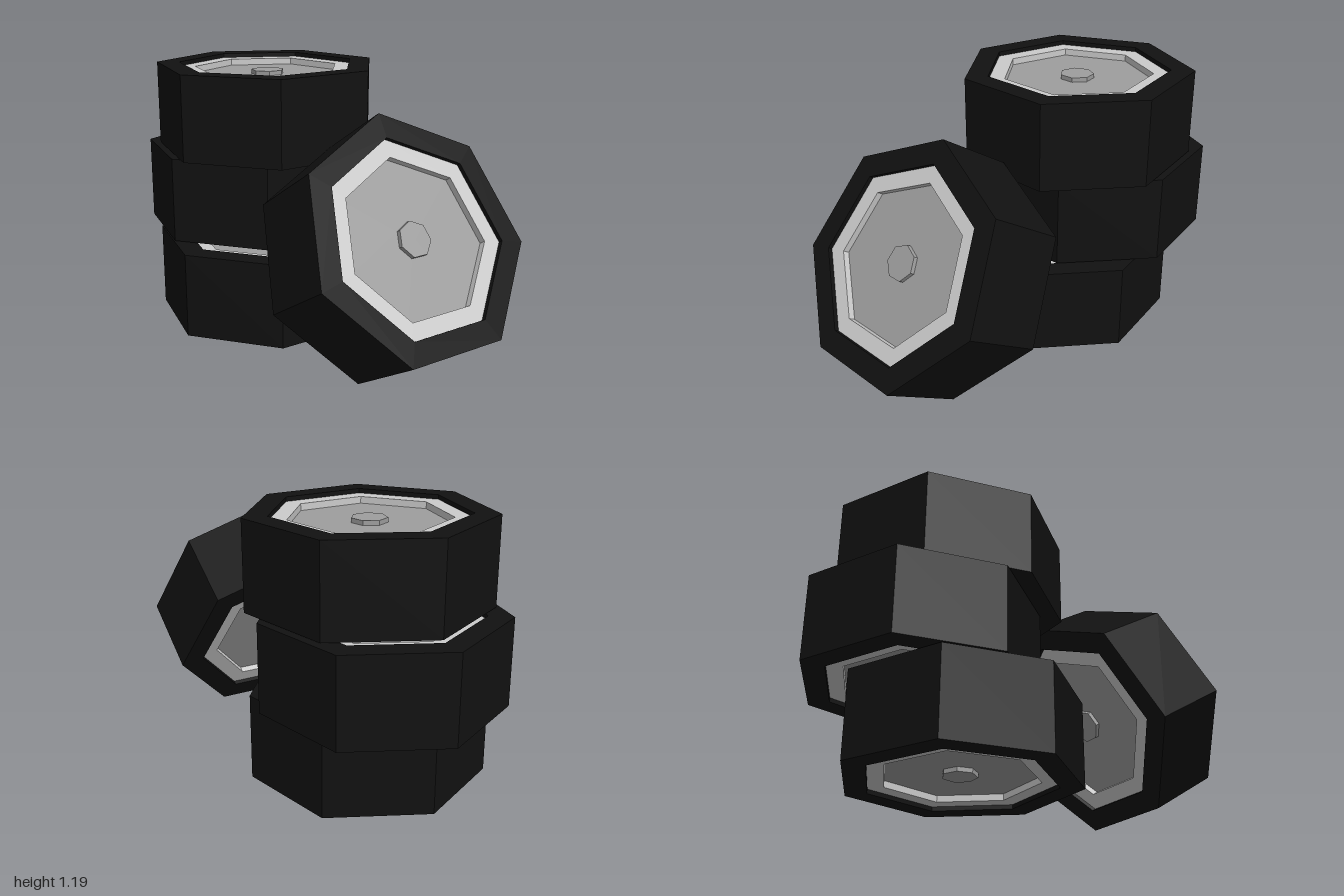
import * as THREE from 'three';

const SIDES = 7;
const H = 0.196;      // half the wheel's width
const R = 0.532;      // tyre radius
const RIM = 0.425, DISC = 0.347, HUB = 0.078;

const material = (color) => new THREE.MeshStandardMaterial({ color, flatShading: true });

// Seven-sided ring swept from [radius, height] pairs, one corner towards -z
function ring(name, profile, mat) {
  const points = profile.map(([r, y]) => new THREE.Vector2(r, y));
  const mesh = new THREE.Mesh(new THREE.LatheGeometry(points, SIDES, Math.PI), mat);
  mesh.name = name;
  return mesh;
}

function createWheel(name, mats) {
  const wheel = new THREE.Group();
  wheel.name = name;

  // Tyre: outer tread, flat side walls and a short lip down to the rim
  wheel.add(ring('tyre', [
    [RIM, -H + 0.02], [RIM, -H], [R, -H], [R, H], [RIM, H], [RIM, H - 0.02],
  ], mats.tyre));

  // Both faces carry the same rim, sunken disc and hub cap
  for (const turn of [0, Math.PI]) {
    const face = new THREE.Group();
    face.name = turn ? 'innerFace' : 'outerFace';
    face.add(ring('rim', [[RIM, H - 0.02], [DISC, H - 0.02], [DISC, H - 0.05]], mats.rim));
    face.add(ring('disc', [[DISC, H - 0.05], [HUB, H - 0.05]], mats.disc));
    face.add(ring('hubCap', [[HUB, H - 0.05], [HUB, H - 0.03], [0, H - 0.03]], mats.disc));
    face.rotation.z = turn;
    wheel.add(face);
  }
  return wheel;
}

export function createModel() {
  const model = new THREE.Group();
  model.name = 'wheelPile';
  const mats = {
    tyre: material(0x111111),
    rim: material(0xcccccc),
    disc: material(0x9e9e9e),
  };

  // Three stacked wheels and one leaning on them: x, y, z, tilt
  const places = {
    bottomWheel: [-0.035, H, -0.279, 0],
    middleWheel: [0.01, 0.595, -0.468, 0],
    topWheel: [0.01, 0.994, -0.349, 0],
    leaningWheel: [0.03, 0.519, 0.583, THREE.MathUtils.degToRad(58.5)],
  };
  for (const [name, [x, y, z, tilt]] of Object.entries(places)) {
    const wheel = createWheel(name, mats);
    wheel.position.set(x, y, z);
    wheel.rotation.x = tilt;
    model.add(wheel);
  }
  return model;
}
